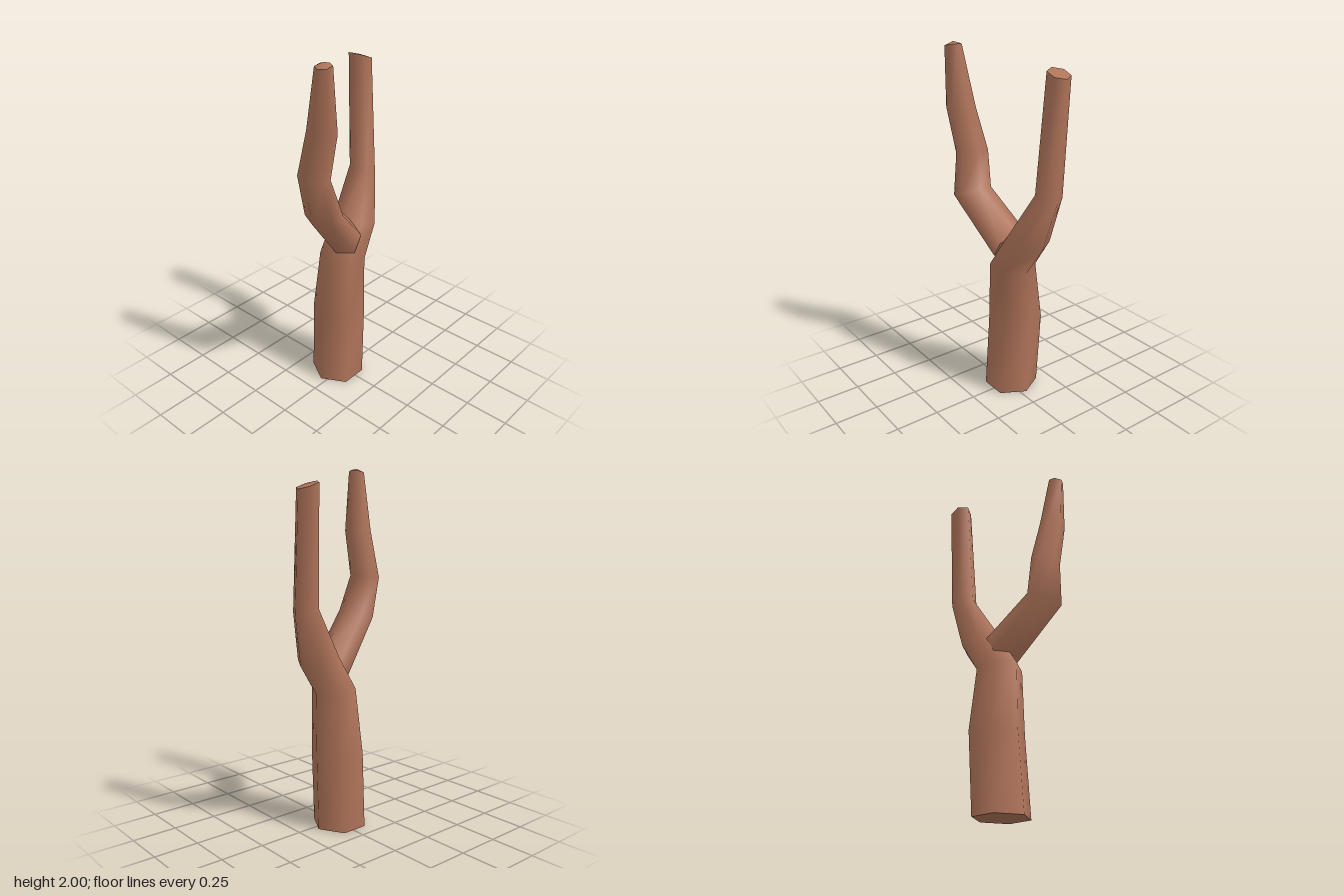
import * as THREE from 'three';

const SIDES = 6;

// One six-sided ring: [leftX, leftY, rightX, rightY, frontZ, backZ]
function ringPoints([lx, ly, rx, ry, front, back]) {
  const points = [];
  const depth = (front - back) / 2 / Math.sin(Math.PI / 3);
  for (let i = 0; i < SIDES; i++) {
    const a = (i / SIDES) * Math.PI * 2;
    const c = Math.cos(a) / 2;
    points.push([
      (lx + rx) / 2 + c * (rx - lx),
      (ly + ry) / 2 + c * (ry - ly),
      (front + back) / 2 + Math.sin(a) * depth,
    ]);
  }
  return points;
}

// Smooth sides over all rings, with separate end caps for sharp rims
function limbGeometry(sections, topRise) {
  const rings = sections.map(ringPoints);
  const positions = rings.flat(2);
  const index = [];
  for (let r = 0; r < rings.length - 1; r++) {
    for (let i = 0; i < SIDES; i++) {
      const a = r * SIDES + i;
      const b = r * SIDES + ((i + 1) % SIDES);
      index.push(a, a + SIDES, b, b, a + SIDES, b + SIDES);
    }
  }
  const addCap = (ring, rise, up) => {
    const start = positions.length / 3;
    const centre = [0, 1, 2].map((k) => ring.reduce((s, p) => s + p[k], 0) / SIDES);
    centre[1] += rise;
    positions.push(...ring.flat(), ...centre);
    for (let i = 0; i < SIDES; i++) {
      const a = start + i;
      const b = start + ((i + 1) % SIDES);
      index.push(start + SIDES, up ? b : a, up ? a : b);
    }
  };
  addCap(rings[0], 0, false);
  addCap(rings[rings.length - 1], topRise, true);

  const geometry = new THREE.BufferGeometry();
  geometry.setAttribute('position', new THREE.Float32BufferAttribute(positions, 3));
  geometry.setIndex(index);
  geometry.computeVertexNormals();
  return geometry;
}

export function createModel() {
  const group = new THREE.Group();
  group.name = 'forkedBranch';
  const bark = new THREE.MeshStandardMaterial({ color: 0xb0745a });
  bark.name = 'bark brown';

  // Trunk carrying on into the left fork
  const trunk = new THREE.Mesh(limbGeometry([
    [-0.16, 0, 0.14, 0, 0.1, -0.17],
    [-0.13, 0.44, 0.16, 0.44, 0.09, -0.18],
    [-0.105, 0.81, 0.145, 0.78, 0.09, -0.135],
    [0.02, 1.01, 0.26, 0.95, 0.065, -0.138],
    [0.183, 1.27, 0.325, 1.23, -0.015, -0.142],
    [0.207, 1.905, 0.327, 1.86, -0.06, -0.17],
  ], 0.005), bark);
  trunk.name = 'trunkAndLeftFork';

  // Right fork growing out of the trunk
  const fork = new THREE.Mesh(limbGeometry([
    [-0.03, 0.82, 0.08, 1.0, 0.09, -0.11],
    [-0.31, 1.15, -0.15, 1.21, 0.172, -0.025],
    [-0.334, 1.39, -0.204, 1.4, 0.13, -0.04],
    [-0.334, 1.66, -0.212, 1.65, 0.184, 0.035],
    [-0.33, 1.975, -0.246, 1.99, 0.18, 0.1],
  ], 0.0175), bark);
  fork.name = 'rightFork';

  group.add(trunk, fork);
  return group;
}
